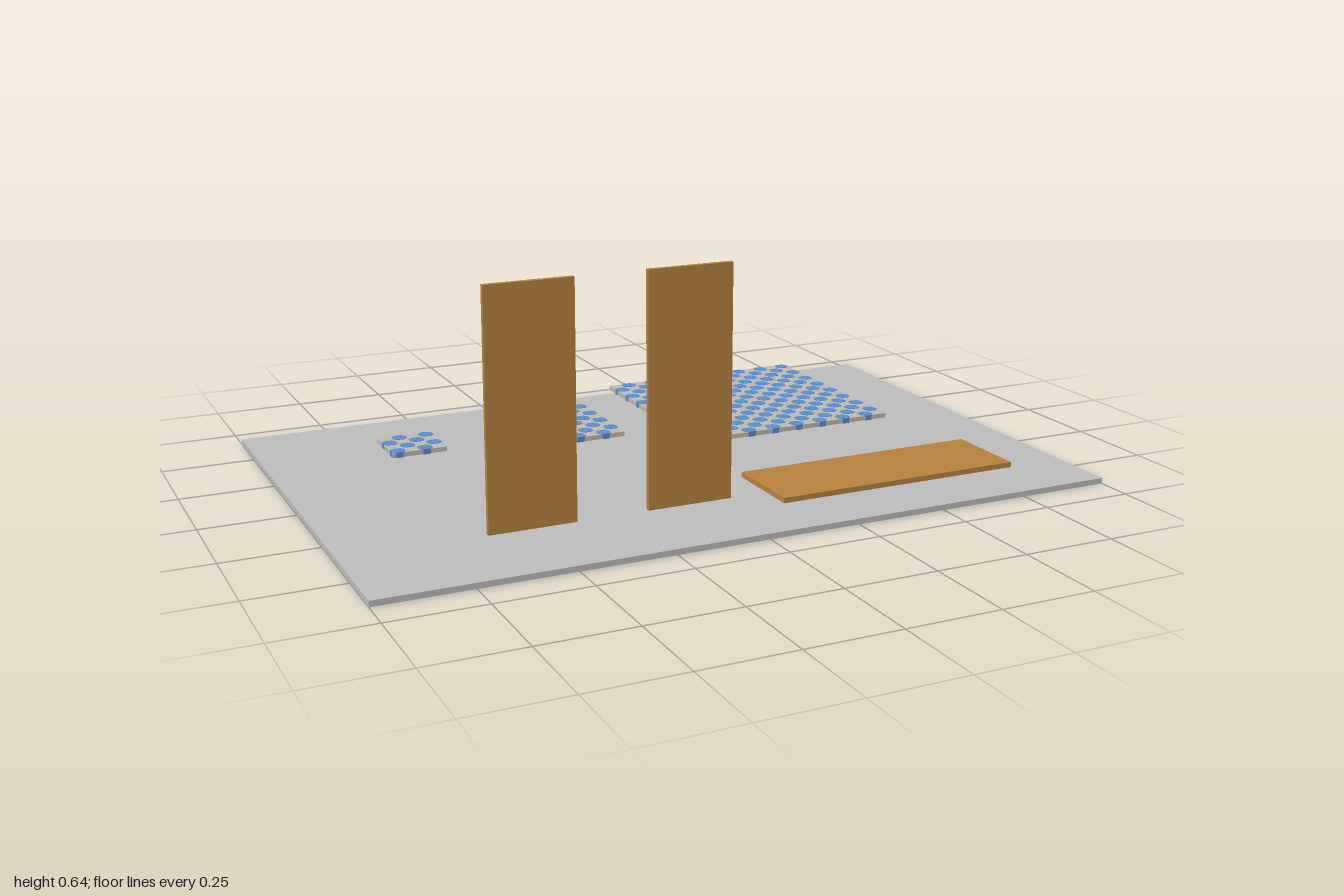
import * as THREE from 'three';
import { mergeGeometries } from 'three/addons/utils/BufferGeometryUtils.js';

const material = (name, color) => {
  const m = new THREE.MeshStandardMaterial({ color });
  m.name = name;
  return m;
};

const UNIT = 0.1543;        // side of one square tile
const CELLS = 4;            // checks along a tile side
const CELL = UNIT / CELLS;
const THICK = 0.013;        // tile thickness

// One blue check: a square with clipped corners, right through the tile
function checkGeometry() {
  const h = CELL / 2 + 0.0003, c = CELL * 0.25;
  const outline = [
    [h, -h + c], [h, h - c], [h - c, h], [-h + c, h],
    [-h, h - c], [-h, -h + c], [-h + c, -h], [h - c, -h],
  ].map(([x, y]) => new THREE.Vector2(x, y));
  const depth = THICK + 0.002;
  const g = new THREE.ExtrudeGeometry(new THREE.Shape(outline), { depth, bevelEnabled: false });
  g.translate(0, 0, -depth / 2);
  g.rotateX(-Math.PI / 2);
  return g;
}

// Square mat made of n by n tiles, each with a checked pattern
function tileMat(name, n, x, z, grey, blue) {
  const mat = new THREE.Group();
  mat.name = name;
  const slabs = [], checks = [];
  const slab = new THREE.BoxGeometry(UNIT - 0.001, THICK, UNIT - 0.001);
  const check = checkGeometry();
  for (let i = 0; i < n; i++) {
    for (let j = 0; j < n; j++) {
      const off = (k) => (k - (n - 1) / 2) * UNIT;
      slabs.push(slab.clone().translate(off(i), 0, off(j)));
    }
  }
  const total = n * CELLS;
  for (let i = 0; i < total; i++) {
    for (let j = 0; j < total; j++) {
      if ((i + j) % 2 === 0) continue;
      const off = (k) => (k - (total - 1) / 2) * CELL;
      checks.push(check.clone().translate(off(i), 0, off(j)));
    }
  }
  const base = new THREE.Mesh(mergeGeometries(slabs), grey);
  base.name = 'tileSlabs';
  const pattern = new THREE.Mesh(mergeGeometries(checks), blue);
  pattern.name = 'blueChecks';
  mat.add(base, pattern);
  mat.position.set(x, 0.039, z);
  return mat;
}

export function createModel() {
  const model = new THREE.Group();
  model.name = 'tileAndPanelDisplay';
  const floorGrey = material('floorGrey', 0xc0c0c0);
  const tileGrey = material('tileGrey', 0xc0bdb5);
  const tileBlue = material('tileBlue', 0x5b8fd2);
  const wood = material('wood', 0xb98440);

  // Box given by its lower and upper corners
  const slab = (name, mat, [x0, y0, z0], [x1, y1, z1]) => {
    const mesh = new THREE.Mesh(new THREE.BoxGeometry(x1 - x0, y1 - y0, z1 - z0), mat);
    mesh.name = name;
    mesh.position.set((x0 + x1) / 2, (y0 + y1) / 2, (z0 + z1) / 2);
    model.add(mesh);
  };

  // Floor plate
  slab('floorPlate', floorGrey, [-1, 0, -0.655], [1, 0.015, 0.655]);

  // Two upright panels and one lying board
  slab('rightUprightPanel', wood, [-0.636, 0.027, 0.398], [-0.406, 0.64, 0.412]);
  slab('leftUprightPanel', wood, [-0.214, 0.027, 0.398], [0.016, 0.64, 0.412]);
  slab('lyingBoard', wood, [0.112, 0.032, 0.288], [0.804, 0.046, 0.518]);

  // Tile mats of one, two and four tiles per side
  model.add(tileMat('smallTile', 1, -0.597, -0.33, tileGrey, tileBlue));
  model.add(tileMat('mediumTileMat', 2, -0.173, -0.33, tileGrey, tileBlue));
  model.add(tileMat('largeTileMat', 4, 0.442, -0.33, tileGrey, tileBlue));

  return model;
}
